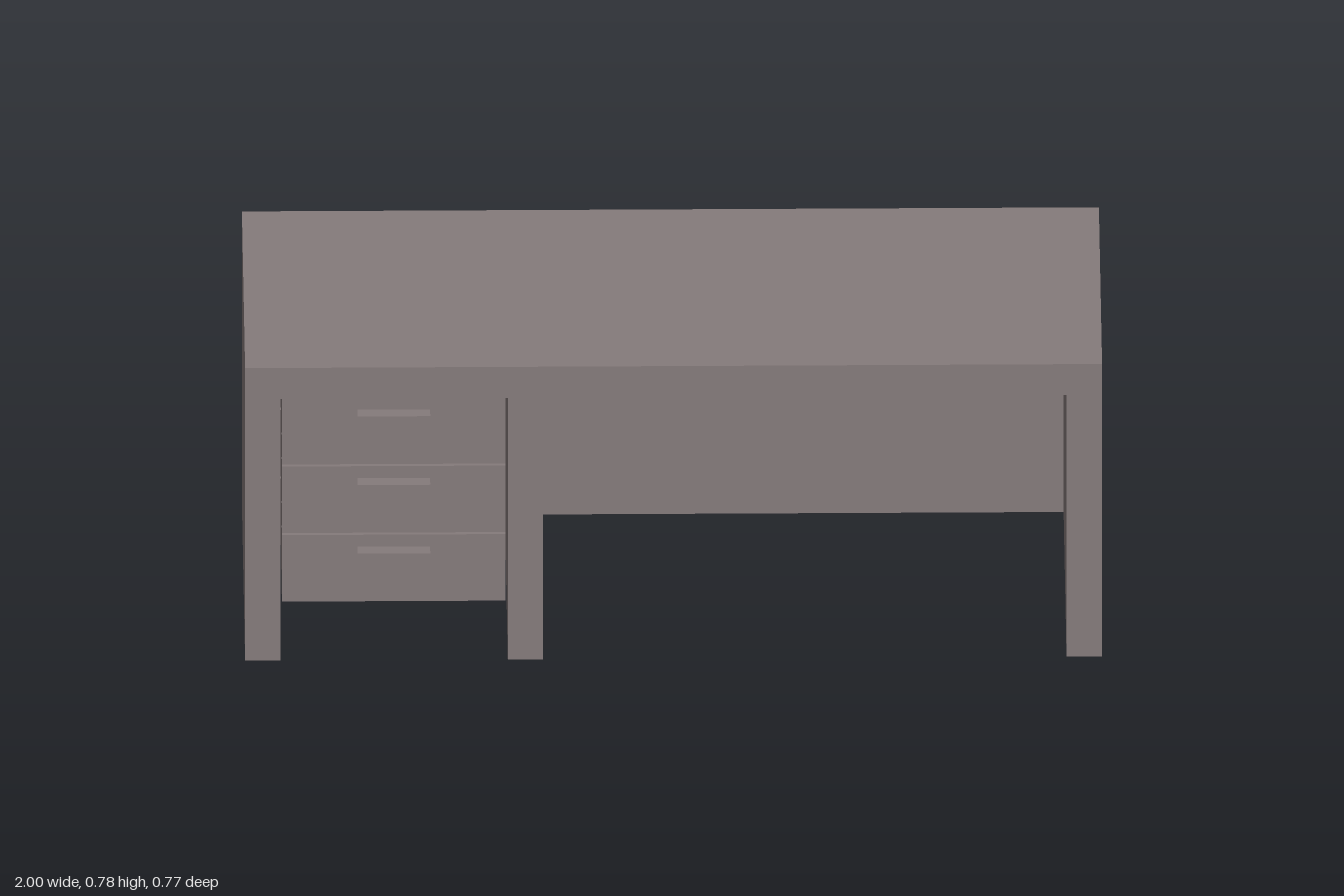
import * as THREE from 'three';

export function createModel() {
  const desk = new THREE.Group();
  desk.name = 'desk';
  const material = new THREE.MeshStandardMaterial({ color: 0x857b7b });

  // Box given by its lower and upper corners
  function box(name, [x0, y0, z0], [x1, y1, z1], parent = desk) {
    const mesh = new THREE.Mesh(new THREE.BoxGeometry(x1 - x0, y1 - y0, z1 - z0), material);
    mesh.position.set((x0 + x1) / 2, (y0 + y1) / 2, (z0 + z1) / 2);
    mesh.name = name;
    parent.add(mesh);
  }

  const height = 0.783, under = 0.7;    // top and underside of the desktop
  const back = -0.385, front = 0.362;   // depth of the carcass
  const inner = 0.917;                  // inside face of the side panels
  const backInner = -0.328;             // inside face of the back panel

  // Carcass
  box('desktop', [-1, under, back], [1, height, front]);
  box('rightSidePanel', [-1, 0, back], [-inner, under, front]);
  box('leftSidePanel', [inner, 0, back], [1, under, front]);
  box('backPanel', [-inner, 0, back], [inner, under, backInner]);
  box('divider', [-0.387, 0, backInner], [-0.305, under, front]);

  // Three stacked drawers, set slightly back, each with a bar handle
  const drawerFront = 0.352;
  for (let i = 0; i < 3; i++) {
    const y = 0.152 + i * 0.1835;
    const drawer = new THREE.Group();
    drawer.name = `drawer${i + 1}`;
    box('drawerBox', [-0.914, y, backInner], [-0.392, y + 0.178, drawerFront], drawer);
    box('drawerHandle', [-0.738, y + 0.115, drawerFront], [-0.568, y + 0.146, 0.385], drawer);
    desk.add(drawer);
  }
  return desk;
}
